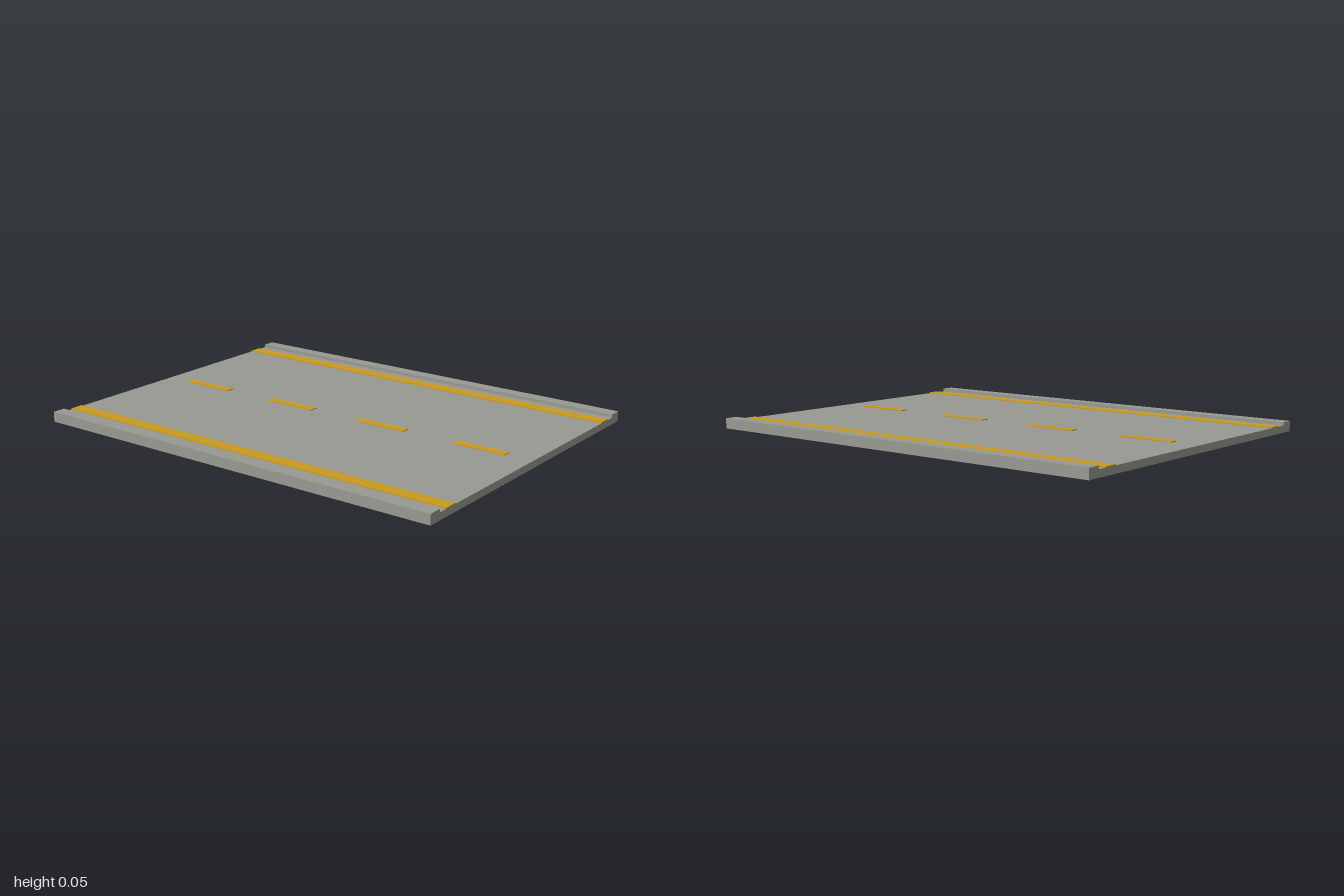
import * as THREE from 'three';

export function createModel() {
  const road = new THREE.Group();
  road.name = 'roadSegment';
  const asphalt = new THREE.MeshStandardMaterial({ color: 0x999993 });
  asphalt.name = 'asphalt grey';
  const paint = new THREE.MeshStandardMaterial({ color: 0xc89a20 });
  paint.name = 'road yellow';

  const half = 0.76, curbInner = 0.7, roadY = 0.032, curbY = 0.046, length = 2;

  // Road slab with raised curbs, one cross-section along z
  const profile = new THREE.Shape([
    [-half, 0], [half, 0], [half, curbY], [curbInner, curbY],
    [curbInner, roadY], [-curbInner, roadY], [-curbInner, curbY], [-half, curbY],
  ].map(([x, y]) => new THREE.Vector2(x, y)));
  const slabGeometry = new THREE.ExtrudeGeometry(profile, { depth: length, bevelEnabled: false });
  slabGeometry.translate(0, 0, -length / 2);
  const slab = new THREE.Mesh(slabGeometry, asphalt);
  slab.name = 'roadWithCurbs';
  road.add(slab);

  // Thin painted plates resting on the road surface
  const thickness = 0.004;
  function addMarking(name, width, depth, x, z) {
    const mesh = new THREE.Mesh(new THREE.BoxGeometry(width, thickness, depth), paint);
    mesh.name = name;
    mesh.position.set(x, roadY + thickness / 2, z);
    road.add(mesh);
  }

  // Solid edge lines
  addMarking('leftEdgeLine', 0.063, length, 0.625, 0);
  addMarking('rightEdgeLine', 0.063, length, -0.625, 0);

  // Dashed centre line
  for (let i = 0; i < 4; i++) addMarking('centreDash' + (i + 1), 0.04, 0.25, -0.003, -0.75 + i * 0.5);

  return road;
}
